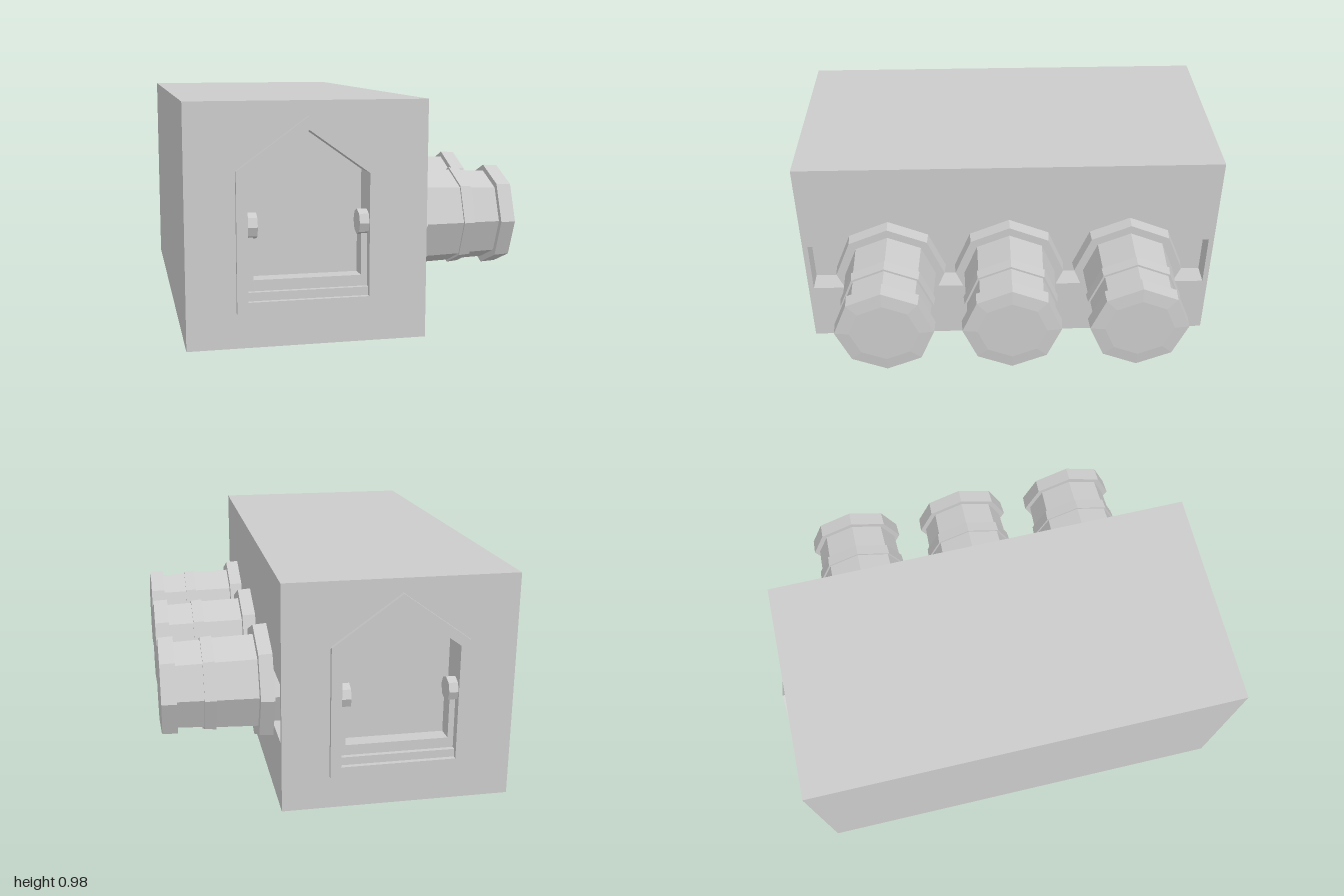
import * as THREE from 'three';

const mat = new THREE.MeshStandardMaterial({ color: 0xcccccc, flatShading: true });
const HALF = 0.98;      // half length of the body
const MID = -0.24;      // x of the body and window centre line
const NICHE = 0.12;     // depth of the window niche behind the wall face
const SLOT = 0.1;       // depth of the side slot

function add(parent, name, geo, x = 0, y = 0, z = 0) {
  const m = new THREE.Mesh(geo, mat);
  m.name = name;
  m.position.set(x, y, z);
  parent.add(m);
  return m;
}
const box = (w, h, d) => new THREE.BoxGeometry(w, h, d);
const points = (list) => list.map(([x, y]) => new THREE.Vector2(x, y));
const rect = (x0, y0, x1, y1) => points([[x0, y0], [x1, y0], [x1, y1], [x0, y1]]);
// Five-sided outline with a pointed top
const gable = (half, bottom, shoulder, top) =>
  points([[-half, bottom], [half, bottom], [half, shoulder], [0, top], [-half, shoulder]]);

function plate(outline, hole, depth) {
  const shape = new THREE.Shape(outline);
  shape.holes.push(new THREE.Path(hole));
  return new THREE.ExtrudeGeometry(shape, { depth, bevelEnabled: false });
}

// End wall with niche, raised frame, sill, rail and knobs, facing +z
function makeWindowEnd() {
  const g = new THREE.Group();
  g.name = 'windowEnd';
  const opening = gable(0.245, 0.19, 0.69, 0.865);
  const right = 0.49 - SLOT;
  // the wall stops short of the slotted side wall on either side as needed
  add(g, 'endWall', plate(rect(-right, 0, right, 0.98), opening, NICHE), 0, 0, HALF - NICHE);
  add(g, 'windowFrame', plate(gable(0.29, 0.145, 0.71, 0.92), opening, 0.02), 0, 0, HALF);
  add(g, 'sill', box(0.49, 0.035, NICHE), 0, 0.2075, HALF - NICHE / 2);
  add(g, 'lowerRail', box(0.49, 0.045, 0.07), 0, 0.2475, 0.925);
  for (const s of [-1, 1]) {
    add(g, 'sideRail', box(0.025, 0.225, 0.07), s * 0.2325, 0.3375, 0.925);
    const knob = new THREE.CylinderGeometry(0.052, 0.052, 0.04, 8).rotateZ(Math.PI / 2);
    add(g, 'knob', knob, s * 0.225, 0.488, 0.945);
  }
  return g;
}

// Stepped octagonal pipe pointing along +x
function makePipe() {
  const profile = points([
    [0, 0.15], [0.262, 0.25], [0.257, 0.31], [0.215, 0.31], [0.208, 0.49],
    [0.218, 0.49], [0.213, 0.54], [0.203, 0.54], [0.198, 0.655],
    [0.225, 0.655], [0.221, 0.72], [0.155, 0.727], [0, 0.727],
  ]);
  // straight neck reaching into the slot
  profile.splice(0, 1, ...points([[0, 0.15], [0.215, 0.15], [0.215, 0.25]]));
  return new THREE.LatheGeometry(profile, 8).rotateZ(-Math.PI / 2);
}

export function createModel() {
  const model = new THREE.Group();
  model.name = 'pipeBlock';

  // Body core, solid side strip between the end walls, and slotted side wall
  add(model, 'bodyCore', box(0.98 - SLOT, 0.98, 2 * (HALF - NICHE)), MID - SLOT / 2, 0.49, 0);
  const side = plate(rect(-HALF, 0, HALF, 0.98), rect(-0.955, 0.3, 0.955, 0.555), SLOT);
  add(model, 'slottedSide', side.rotateY(Math.PI / 2), 0.25 - SLOT, 0, 0);

  // Window ends at front and back
  for (const turn of [0, Math.PI]) {
    const end = makeWindowEnd();
    end.position.x = MID;
    end.rotation.y = turn;
    model.add(end);
    // corner fill on the far side of each end wall
    const z = (turn ? -1 : 1) * (HALF - NICHE / 2);
    add(model, 'cornerPost', box(SLOT, 0.98, NICHE), -0.73 + SLOT / 2, 0.49, z);
  }

  // Row of three pipes
  for (const z of [-0.567, 0, 0.567]) add(model, 'pipe', makePipe(), 0, 0.43, z);

  return model;
}
